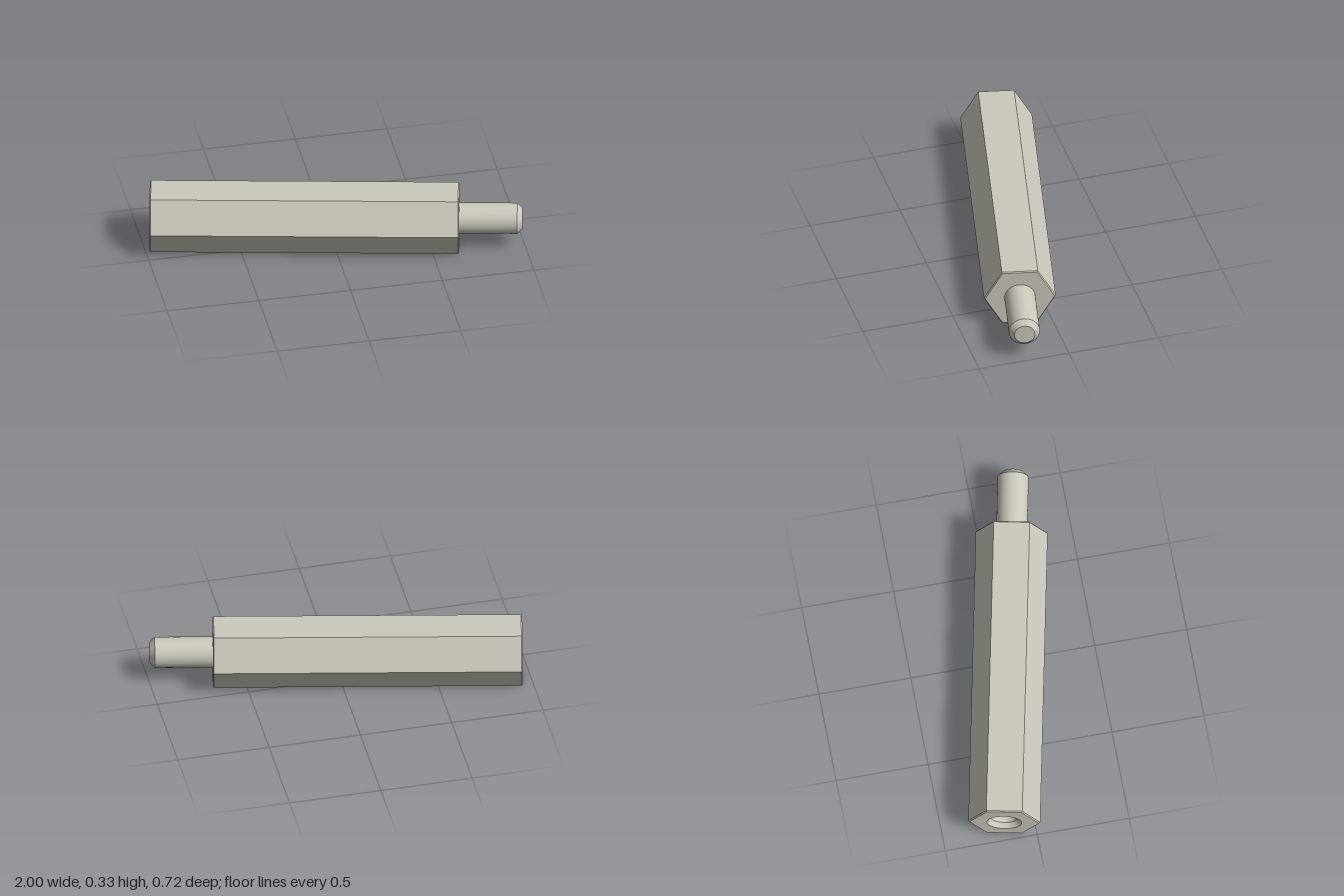
import * as THREE from 'three';
import { toCreasedNormals } from 'three/addons/utils/BufferGeometryUtils.js';

const FLAT = 0.333;                 // hexagon across flats
const R = FLAT / Math.sqrt(3);      // hexagon corner radius
const LENGTH = 1.655;               // hexagonal body length
const STUD = 0.338;                 // stud length
const BEVEL = 0.006;
const BORE_MOUTH = 0.093;
const BORE = 0.07;

export function createModel() {
  const metal = new THREE.MeshStandardMaterial({ color: 0xccc9bd });
  metal.name = 'warm grey metal';

  const model = new THREE.Group();
  model.name = 'hexStandoff';

  // All parts share one axis: y before the final turn
  const axis = new THREE.Group();
  axis.name = 'standoffAxis';
  model.add(axis);

  const add = (name, geometry) => {
    const mesh = new THREE.Mesh(geometry, metal);
    mesh.name = name;
    axis.add(mesh);
  };
  const turned = (points, sides) => toCreasedNormals(
    new THREE.LatheGeometry(points.map(([r, y]) => new THREE.Vector2(r, y)), sides),
    Math.PI / 6
  );

  // Hexagonal body with small bevels and a closed stud end
  add('hexBody', turned([
    [R - BEVEL, 0], [R, BEVEL], [R, LENGTH - BEVEL], [R - BEVEL, LENGTH], [0, LENGTH],
  ], 6));

  // Hexagonal end face around the bore
  const face = new THREE.Shape();
  for (let i = 0; i < 6; i++) {
    const a = (i * Math.PI) / 3;
    const x = Math.sin(a) * (R - BEVEL);
    const y = Math.cos(a) * (R - BEVEL);
    if (i) face.lineTo(x, y); else face.moveTo(x, y);
  }
  face.closePath();
  const mouth = new THREE.Path();
  mouth.absarc(0, 0, BORE_MOUTH, 0, Math.PI * 2, true);
  face.holes.push(mouth);
  add('boreEndFace', new THREE.ShapeGeometry(face, 24).rotateX(Math.PI / 2));

  // Countersunk blind bore
  add('bore', turned([
    [0, 0.5], [BORE, 0.5], [BORE, 0.026], [BORE_MOUTH, 0],
  ], 48));

  // Round stud with a chamfered tip
  const tip = LENGTH + STUD;
  add('stud', turned([
    [0.083, LENGTH - 0.01], [0.083, tip - 0.028], [0.055, tip], [0, tip],
  ], 48));

  // Lay the axis along x, then swing the stud end toward the front
  axis.rotation.z = -Math.PI / 2;
  const swing = new THREE.Group();
  swing.name = 'swing';
  swing.add(axis);
  swing.rotation.y = -THREE.MathUtils.degToRad(12);
  swing.position.set(-0.96, FLAT / 2, -0.172);
  model.add(swing);
  return model;
}
